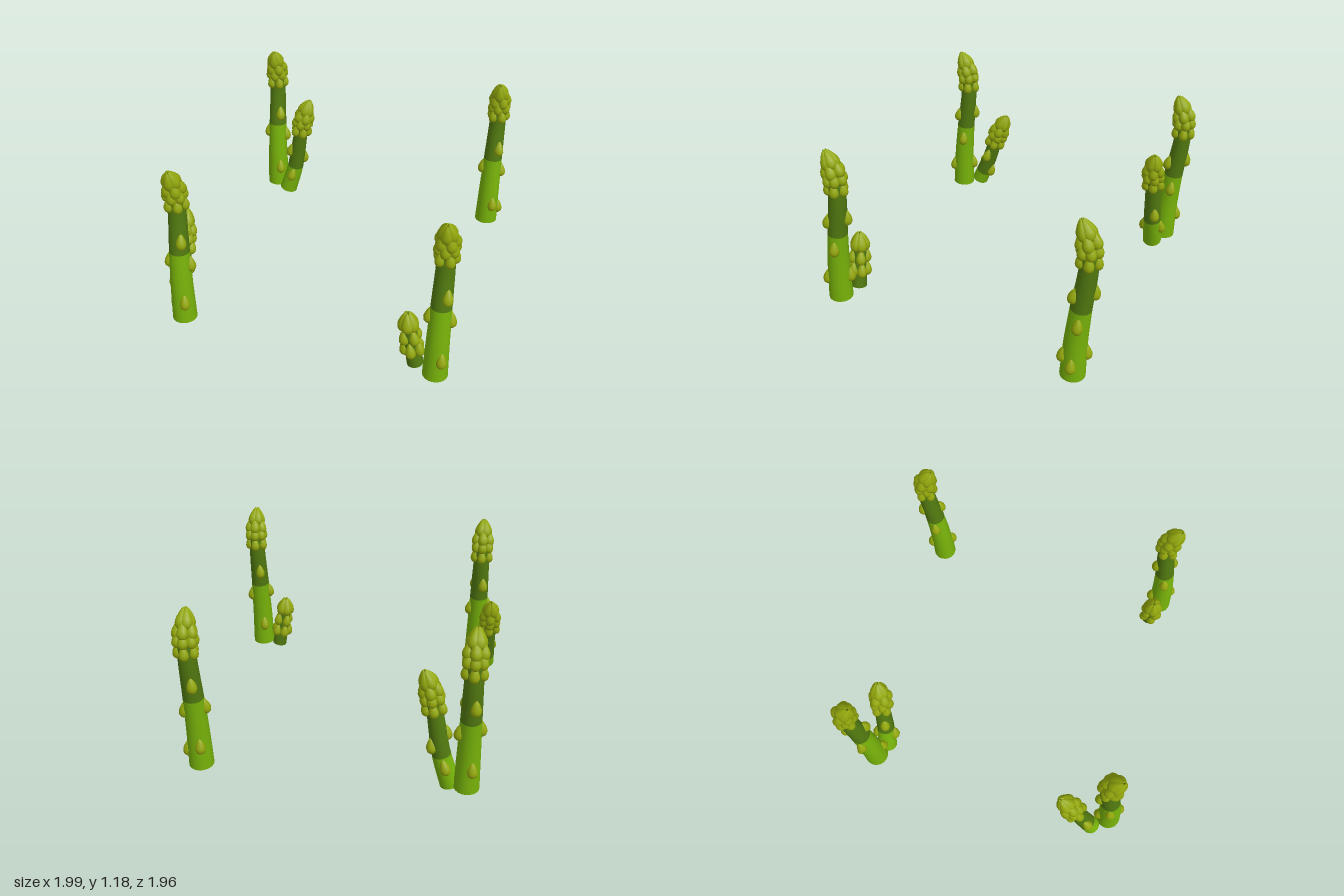
import * as THREE from 'three';

const V = (x, y, z) => new THREE.Vector3(x, y, z);
const mat = (name, color) => {
  const m = new THREE.MeshStandardMaterial({ color });
  m.name = name;
  return m;
};

// Rings of overlapping scales: [distance below tip, count, offset from axis, height, inward tilt]
const FULL_HEAD = [
  [0.07, 5, 0.02, 0.14, 0.16],
  [0.135, 5, 0.043, 0.125, 0.16],
  [0.19, 6, 0.049, 0.115, 0.1],
  [0.265, 5, 0.051, 0.11, 0.05],
];
const SPARSE_HEAD = [
  [0.07, 5, 0.024, 0.145, 0.16],
  [0.175, 4, 0.045, 0.115, 0.08],
  [0.27, 5, 0.05, 0.115, 0.05],
];

export function createModel() {
  const light = mat('light green stem', 0x78b40a);
  const dark = mat('dark green stem', 0x527a10);
  const scale = mat('yellow green bud', 0x93a80c);

  // Teardrop bud of unit height, rounded below and pointed above
  const profile = [[0, -0.5], [0.14, -0.47], [0.24, -0.37], [0.285, -0.22], [0.27, -0.05],
    [0.2, 0.16], [0.11, 0.35], [0, 0.5]].map(([x, y]) => new THREE.Vector2(x, y));
  const budGeo = new THREE.LatheGeometry(profile, 12);

  function stalk(name, points, r0, r1, split, buds, head) {
    const group = new THREE.Group();
    group.name = name;
    const path = new THREE.CatmullRomCurve3(points);
    const len = path.getLength();
    const radius = u => Math.min(THREE.MathUtils.lerp(r0, r1, u), 0.42 * len * (1 - u));

    // Tapered stem, pale at the foot
    const SEG = 44, SIDES = 20;
    const geo = new THREE.TubeGeometry(path, SEG, 1, SIDES);
    const pos = geo.attributes.position, p = V(0, 0, 0);
    for (let i = 0; i <= SEG; i++) {
      const c = path.getPointAt(i / SEG);
      for (let j = 0; j <= SIDES; j++) {
        const k = i * (SIDES + 1) + j;
        p.fromBufferAttribute(pos, k).sub(c).multiplyScalar(radius(i / SEG)).add(c);
        pos.setXYZ(k, p.x, p.y, p.z);
      }
    }
    const cut = Math.round(split * SEG) * SIDES * 6;
    if (cut) geo.addGroup(0, cut, 0);
    geo.addGroup(cut, SEG * SIDES * 6 - cut, 1);
    const stem = new THREE.Mesh(geo, [light, dark]);
    stem.name = 'stem';
    group.add(stem);

    // Cut end
    const end = new THREE.Mesh(new THREE.CircleGeometry(r0, SIDES), split > 0 ? light : dark);
    end.name = 'cutEnd';
    end.position.copy(path.getPointAt(0));
    end.quaternion.setFromUnitVectors(V(0, 0, 1), path.getTangentAt(0).negate());
    group.add(end);

    // One bud at arc fraction u, facing a compass angle (0 = +x, 90 = +z)
    function addBud(u, degrees, offset, height, tilt, label) {
      const a = THREE.MathUtils.degToRad(degrees);
      const t = path.getTangentAt(u);
      const out = V(Math.cos(a), 0, Math.sin(a));
      out.addScaledVector(t, -out.dot(t)).normalize();
      const bud = new THREE.Mesh(budGeo, scale);
      bud.name = label;
      bud.position.copy(path.getPointAt(u)).addScaledVector(out, offset);
      bud.quaternion.setFromUnitVectors(V(0, 1, 0), t.addScaledVector(out, -tilt).normalize());
      bud.scale.setScalar(height);
      group.add(bud);
    }
    for (const [u, degrees] of buds) addBud(u, degrees, radius(u) * 0.97, 0.118, 0.1, 'sideBud');
    head.forEach(([d, count, offset, height, tilt], ring) => {
      for (let i = 0; i < count; i++) {
        const degrees = 90 + (i + (ring % 2) / 2) * 360 / count;
        addBud(1 - d / len, degrees, offset, height, tilt, 'headBud');
      }
    });
    return group;
  }

  const model = new THREE.Group();
  model.name = 'asparagus';

  // Four equal tall stalks, one at each corner
  const tallBuds = [[0.15, 55], [0.165, -112], [0.38, -15], [0.4, 170], [0.545, 50], [0.575, -112]];
  for (const x of [-0.828, 0.878]) {
    for (const z of [0.89, -0.827]) {
      const line = [[0.035, 0], [0.3, -0.012], [0.55, -0.035], [0.85, -0.07], [1.0, -0.067],
        [1.1, -0.04], [1.17, -0.008]].map(([y, dz]) => V(x, y, z + dz));
      const isBackLeft = x > 0 && z < 0;
      const buds = isBackLeft ? [...tallBuds, [0.11, -8]] : tallBuds;
      model.add(stalk('tallStalk', line, 0.081, 0.048, 0.45, buds, FULL_HEAD));
    }
  }

  // Shorter leaning stalks beside them
  model.add(stalk('backLeaningStalk',
    [V(-0.725, 0.017, -0.78), V(-0.66, 0.24, -0.785), V(-0.61, 0.53, -0.785), V(-0.575, 0.7, -0.785), V(-0.532, 0.838, -0.8)],
    0.067, 0.044, 0.27, [[0.21, 85], [0.45, 155], [0.38, -35], [0.2, -100]], FULL_HEAD));
  model.add(stalk('frontLeaningStalk',
    [V(-0.915, 0.035, 0.785), V(-0.915, 0.25, 0.695), V(-0.92, 0.45, 0.63), V(-0.92, 0.58, 0.575), V(-0.92, 0.663, 0.535)],
    0.062, 0.044, 0.13, [[0.27, 130], [0.22, -80], [0.42, 10]], FULL_HEAD));
  model.add(stalk('smallStalk',
    [V(0.74, 0.04, 0.84), V(0.71, 0.2, 0.84), V(0.685, 0.34, 0.84), V(0.673, 0.443, 0.84)],
    0.053, 0.042, 0, [], SPARSE_HEAD));

  return model;
}
